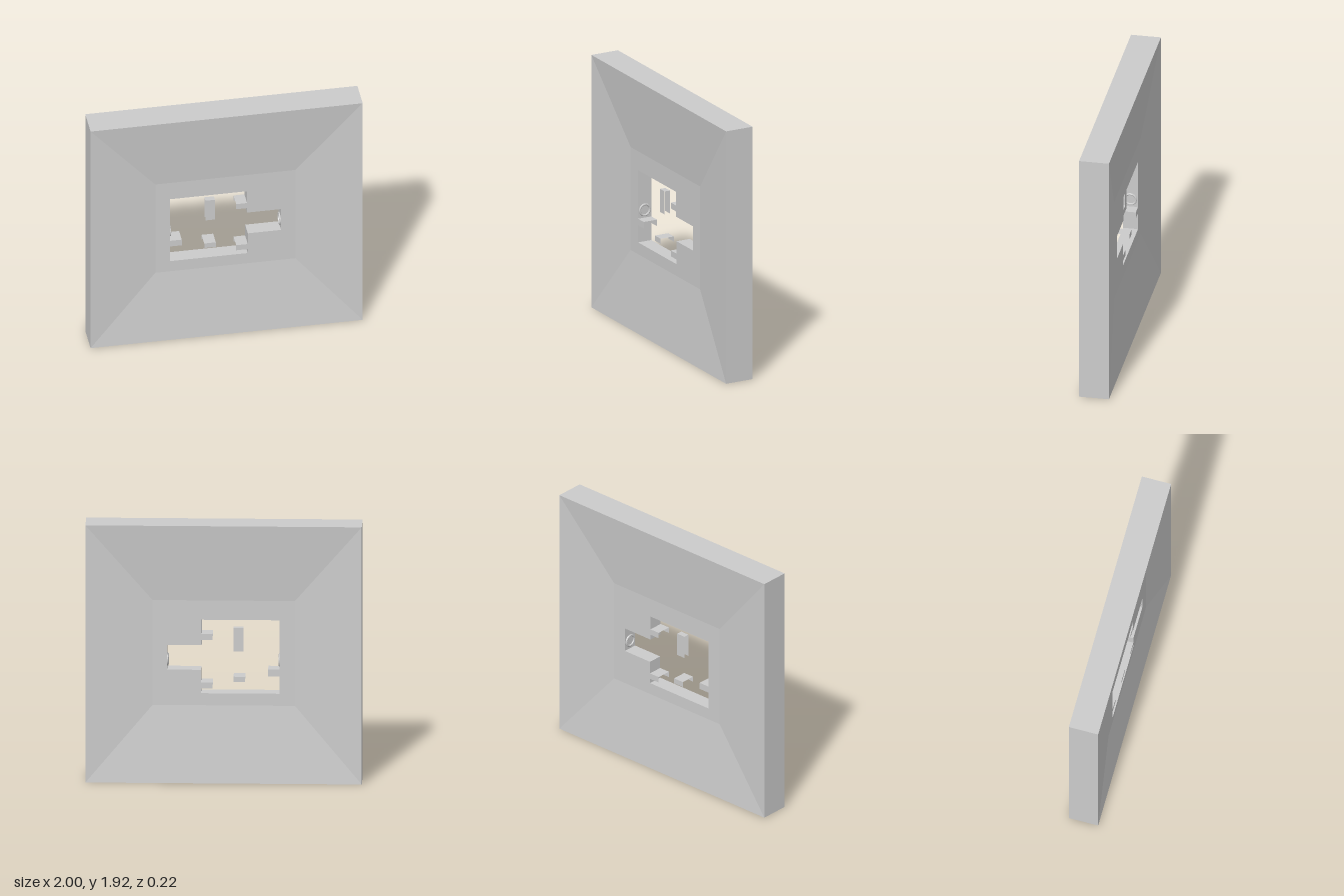
import * as THREE from 'three';
import { mergeGeometries } from 'three/addons/utils/BufferGeometryUtils.js';

const RIM = 0.11;   // half depth at the outer edge
const WEB = 0.055;  // half depth of the recessed centre

const grey = new THREE.MeshStandardMaterial({ color: 0xcccccc, flatShading: true });
const sheet = new THREE.MeshStandardMaterial({ color: 0xcccccc, flatShading: true, side: THREE.DoubleSide });

const rect = (x, y0, y1) => [[-x, y0], [x, y0], [x, y1], [-x, y1]];
const OUTER = rect(1, 0, 1.925);
const INNER = rect(0.515, 0.57, 1.355);
const OPENING = [
  [-0.405, 0.66], [0.165, 0.66], [0.165, 0.835], [0.41, 0.835],
  [0.41, 1.02], [0.16, 1.02], [0.16, 1.21], [-0.405, 1.21],
];

// Flat quads joining a series of matching loops, each given as [outline, z]
function loft(loops) {
  const pos = [];
  for (let k = 0; k + 1 < loops.length; k++) {
    const [a, za] = loops[k], [b, zb] = loops[k + 1];
    for (let i = 0; i < a.length; i++) {
      const j = (i + 1) % a.length;
      const p = [...a[i], za], q = [...a[j], za], r = [...b[j], zb], s = [...b[i], zb];
      pos.push(...p, ...q, ...r, ...p, ...r, ...s);
    }
  }
  const g = new THREE.BufferGeometry();
  g.setAttribute('position', new THREE.Float32BufferAttribute(pos, 3));
  g.computeVertexNormals();
  return g;
}

// Recessed flat panel around the opening, facing front (1) or back (-1)
function panel(dir) {
  const toPath = pts => pts.map(p => new THREE.Vector2(...p));
  const shape = new THREE.Shape(toPath(INNER));
  shape.holes.push(new THREE.Path(toPath(OPENING)));
  const g = new THREE.ShapeGeometry(shape);
  if (dir < 0) g.setIndex(Array.from(g.index.array).reverse());
  g.translate(0, 0, dir * WEB);
  const flat = g.toNonIndexed();
  flat.deleteAttribute('uv');
  flat.computeVertexNormals();
  return flat;
}

// Thin cover: a top sheet with a front and a back flap, open below and at the ends
function cover(x0, x1, y0, y1, d) {
  const w = x1 - x0, h = y1 - y0, cx = (x0 + x1) / 2;
  const top = new THREE.PlaneGeometry(w, 2 * d).rotateX(-Math.PI / 2).translate(cx, y1, 0);
  const front = new THREE.PlaneGeometry(w, h).translate(cx, (y0 + y1) / 2, d);
  const back = new THREE.PlaneGeometry(w, h).rotateY(Math.PI).translate(cx, (y0 + y1) / 2, -d);
  return mergeGeometries([top, front, back]);
}

export function createModel() {
  const group = new THREE.Group();
  const add = (name, geometry, material) => {
    const mesh = new THREE.Mesh(geometry, material);
    mesh.name = name;
    group.add(mesh);
    return mesh;
  };

  // Square frame: sloping faces on both sides and the outer edge
  add('slopedFrame', loft([[INNER, -WEB], [OUTER, -RIM], [OUTER, RIM], [INNER, WEB]]), grey);
  add('frontPanel', panel(1), grey);
  add('backPanel', panel(-1), grey);
  add('openingWalls', loft([[OPENING, WEB], [OPENING, -WEB]]), grey);

  // Small covers in the opening
  const covers = [
    ['leftLedge', -0.405, -0.32, 0.79, 0.84, WEB],
    ['upperLedge', 0.08, 0.16, 1.06, 1.105, WEB],
    ['lowerLedge', 0.08, 0.165, 0.695, 0.74, WEB],
    ['centreLedge', -0.155, -0.07, 0.745, 0.785, WEB],
    ['centrePillar', -0.14, -0.07, 0.965, 1.14, 0.022],
  ];
  for (const [name, ...size] of covers) add(name, cover(...size), sheet);

  // Rings on the two end walls of the opening
  for (const [name, x] of [['rightRing', -0.403], ['leftRing', 0.408]]) {
    const ring = add(name, new THREE.TorusGeometry(0.041, 0.008, 8, 24).rotateY(Math.PI / 2), grey);
    ring.position.set(x, 0.9, 0);
  }
  return group;
}
